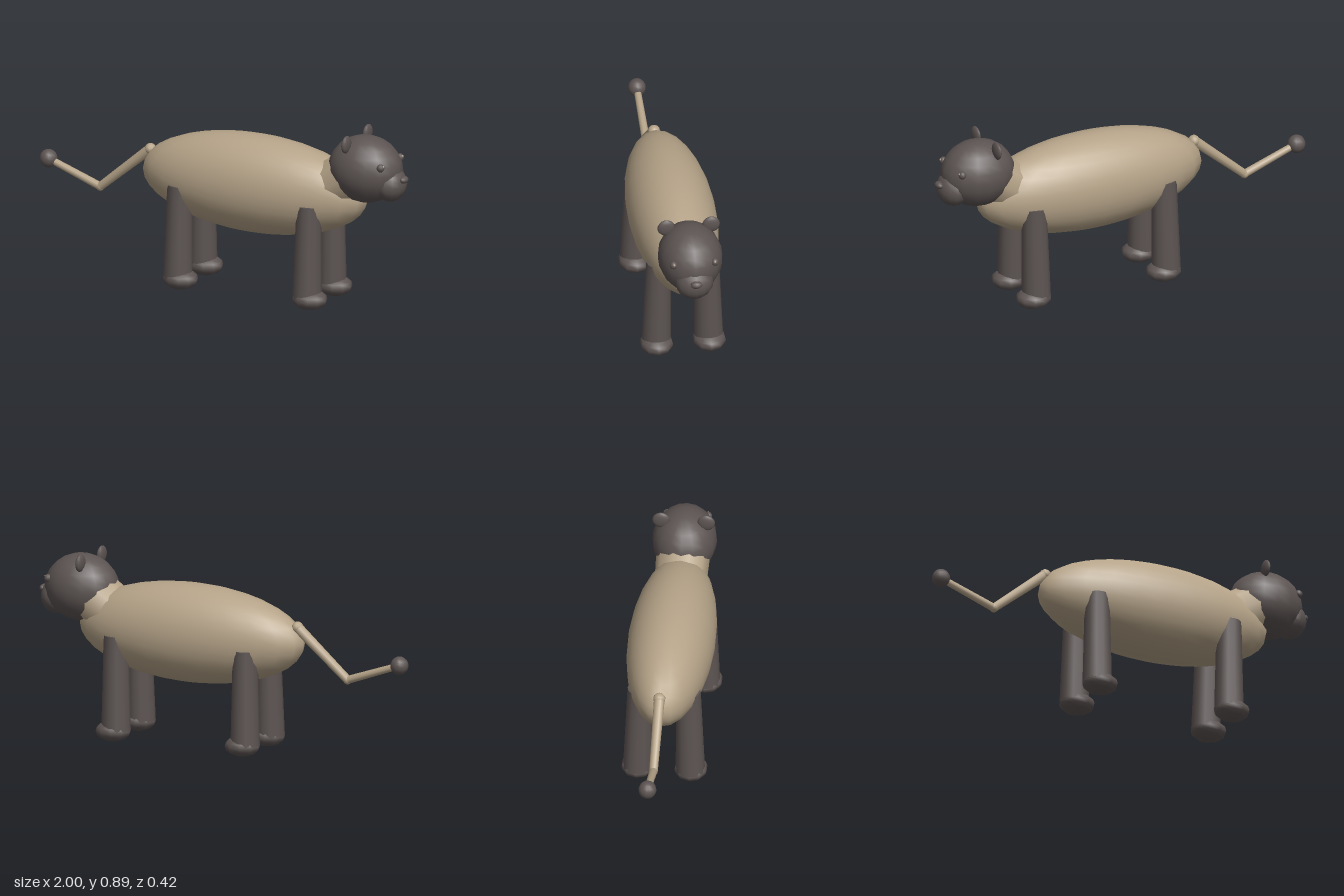
import * as THREE from 'three';

export function createModel() {
  const model = new THREE.Group();
  const tan = new THREE.MeshStandardMaterial({ color: 0xb5a388 });
  tan.name = 'tanFur';
  const dark = new THREE.MeshStandardMaterial({ color: 0x5c5452 });
  dark.name = 'darkFur';

  const add = (name, geometry, material, parent = model) => {
    const mesh = new THREE.Mesh(geometry, material);
    mesh.name = name;
    parent.add(mesh);
    return mesh;
  };

  // Ellipsoid with its poles along y
  const ball = (name, material, [x, y, z], [rx, ry, rz], w = 16, h = 12, parent = model) => {
    const geometry = new THREE.SphereGeometry(1, w, h).scale(rx, ry, rz);
    const mesh = add(name, geometry, material, parent);
    mesh.position.set(x, y, z);
    return mesh;
  };

  // Tapered limb between two points
  const limb = (name, material, from, to, r0, r1, sides = 12, parent = model) => {
    const a = new THREE.Vector3(...from), b = new THREE.Vector3(...to);
    const dir = b.clone().sub(a);
    const mesh = add(name, new THREE.CylinderGeometry(r1, r0, dir.length(), sides), material, parent);
    mesh.position.copy(a).add(b).multiplyScalar(0.5);
    mesh.quaternion.setFromUnitVectors(new THREE.Vector3(0, 1, 0), dir.normalize());
    return mesh;
  };

  // Body and neck
  ball('body', tan, [0.17, 0.55, 0], [0.605, 0.242, 0.21], 24, 18);
  limb('neck', tan, [0.56, 0.585, 0], [0.7, 0.67, 0], 0.125, 0.13, 10);

  // Head
  const head = new THREE.Group();
  head.name = 'head';
  model.add(head);
  ball('skull', dark, [0.77, 0.71, 0], [0.187, 0.165, 0.156], 16, 12, head);
  ball('muzzle', dark, [0.905, 0.652, 0], [0.077, 0.085, 0.092], 14, 10, head);
  ball('nose', dark, [0.978, 0.683, 0], [0.02, 0.018, 0.029], 10, 8, head);
  for (const s of [1, -1]) {
    const side = s > 0 ? 'Right' : 'Left';
    ball('ear' + side, dark, [0.722, 0.852, s * 0.109], [0.016, 0.043, 0.043], 12, 10, head);
    ball('eye' + side, dark, [0.903, 0.757, s * 0.1], [0.019, 0.02, 0.019], 10, 8, head);
    ball('eyeGlint' + side, tan, [0.917, 0.765, s * 0.099], [0.006, 0.006, 0.006], 6, 5, head);
  }

  // Legs and paws
  for (const [pair, x] of [['front', 0.518], ['hind', -0.185]]) {
    for (const s of [1, -1]) {
      const leg = new THREE.Group();
      leg.name = pair + 'Leg' + (s > 0 ? 'Right' : 'Left');
      model.add(leg);
      limb('shank', dark, [x, 0.055, s * 0.127], [x + 0.005, 0.52, s * 0.117], 0.071, 0.06, 12, leg);
      ball('paw', dark, [x + 0.015, 0.052, s * 0.128], [0.088, 0.05, 0.081], 10, 8, leg);
    }
  }

  // Tail with its joints and tuft
  const root = [-0.402, 0.635, 0], bend = [-0.675, 0.405, 0], tip = [-0.957, 0.505, 0];
  limb('tailUpper', tan, root, bend, 0.026, 0.021, 10);
  limb('tailLower', tan, bend, tip, 0.02, 0.017, 10);
  ball('tailRoot', tan, root, [0.028, 0.028, 0.03], 10, 8);
  ball('tailJoint', tan, bend, [0.022, 0.022, 0.022], 10, 8);
  ball('tailTuft', dark, tip, [0.044, 0.045, 0.044], 12, 10);

  return model;
}
